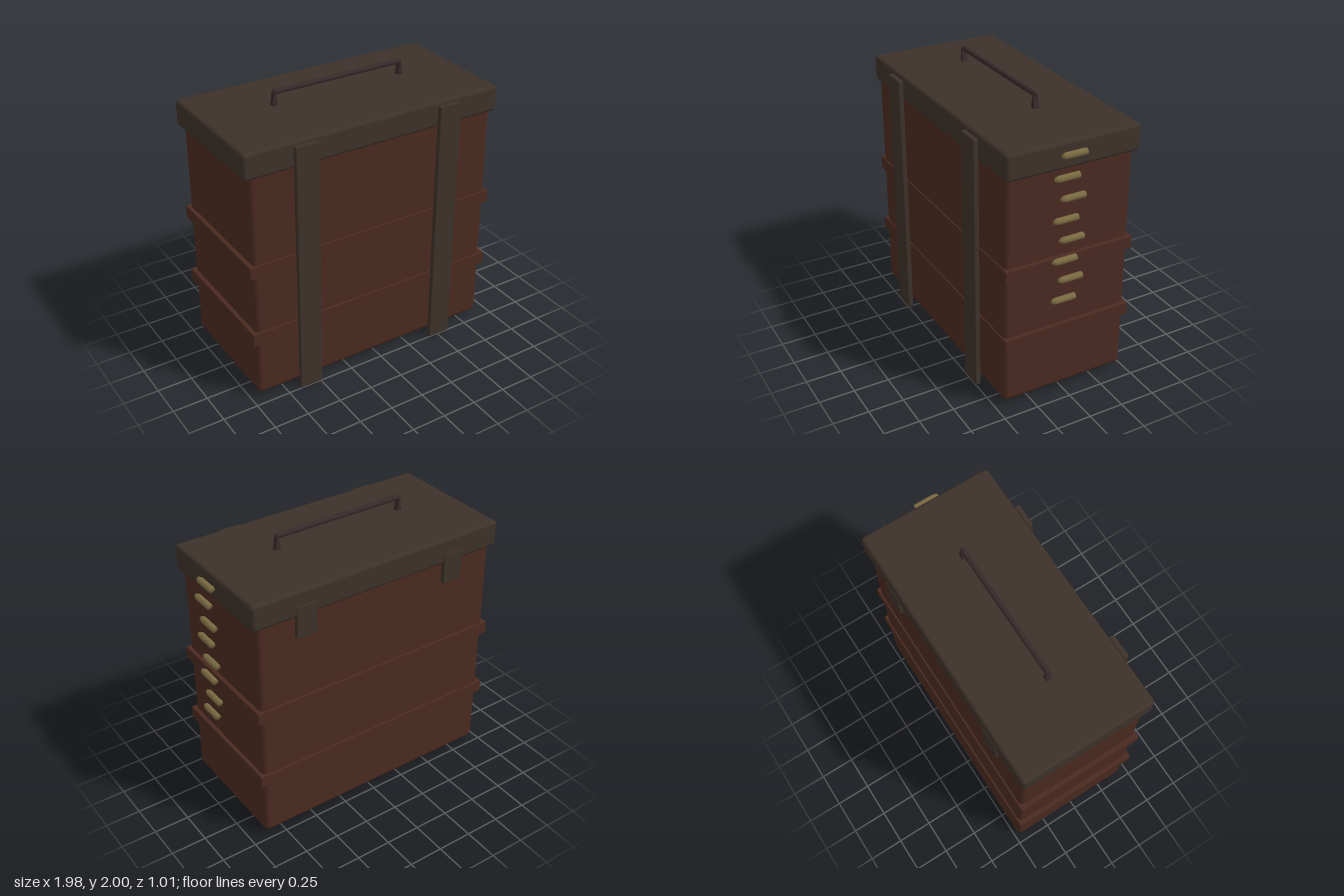
import * as THREE from 'three';
import { RoundedBoxGeometry } from 'three/addons/geometries/RoundedBoxGeometry.js';

const mat = (name, color) => {
  const m = new THREE.MeshStandardMaterial({ color });
  m.name = name;
  return m;
};

export function createModel() {
  const model = new THREE.Group();
  model.name = 'caseWithStraps';
  const leather = mat('redBrownLeather', 0x4a2a20);
  const dark = mat('darkLeather', 0x3d322a);
  const grip = mat('handleBrown', 0x38292a);
  const brass = mat('brass', 0x7a6a42);

  const add = (name, geo, material, x = 0, y = 0, z = 0) => {
    const mesh = new THREE.Mesh(geo, material);
    mesh.name = name;
    mesh.position.set(x, y, z);
    model.add(mesh);
    return mesh;
  };
  // Box given by its limits on each axis, optionally with rounded edges
  const block = (name, material, [x0, x1], [y0, y1], [z0, z1], r = 0) => {
    const size = [x1 - x0, y1 - y0, z1 - z0];
    const geo = r ? new RoundedBoxGeometry(...size, 2, r) : new THREE.BoxGeometry(...size);
    return add(name, geo, material, (x0 + x1) / 2, (y0 + y1) / 2, (z0 + z1) / 2);
  };

  // Case body, lid and the two bands around it
  block('body', leather, [-0.95, 0.895], [0.037, 1.74], [-0.477, 0.446], 0.035);
  block('lid', dark, [-0.99, 0.935], [1.68, 1.865], [-0.5, 0.46], 0.025);
  for (const y of [0.5, 1.018]) {
    block('band', leather, [-0.98, 0.923], [y - 0.047, y + 0.047], [-0.49, 0.456], 0.006);
  }

  // Long front straps and short rear tabs
  for (const x of [-0.57, 0.515]) {
    block('frontStrap', dark, [x - 0.083, x + 0.083], [0, 1.84], [0.464, 0.5], 0.006);
  }
  for (const x of [-0.61, 0.55]) {
    block('rearTab', dark, [x - 0.076, x + 0.076], [1.53, 1.755], [-0.506, -0.472], 0.006);
  }

  // Handle: thin bar on two flared feet
  const bar = new THREE.CapsuleGeometry(0.018, 0.96, 3, 10);
  bar.rotateZ(Math.PI / 2);
  add('handleBar', bar, grip, -0.028, 1.982, -0.018);
  const foot = new THREE.Shape([
    new THREE.Vector2(-0.02, 0), new THREE.Vector2(0.02, 0),
    new THREE.Vector2(0.005, 0.09), new THREE.Vector2(-0.005, 0.09),
  ]);
  const footGeo = new THREE.ExtrudeGeometry(foot, { depth: 0.036, bevelEnabled: false });
  for (const x of [-0.513, 0.455]) add('handleFoot', footGeo, grip, x, 1.89, -0.036);

  // Column of staggered brass pegs along the left side, tips to the front
  const profile = [[0, -0.0875], [0.023, -0.0875], [0.023, 0.055], [0.018, 0.074], [0.01, 0.0875], [0, 0.0875]]
    .map(([r, y]) => new THREE.Vector2(r, y));
  const peg = new THREE.LatheGeometry(profile, 8);
  peg.rotateX(Math.PI / 2);
  for (let i = 0; i < 8; i++) {
    add('brassPeg', peg, brass, 0.967, 1.79 - i * 0.145, i % 2 ? 0.06 : 0.013);
  }
  return model;
}
